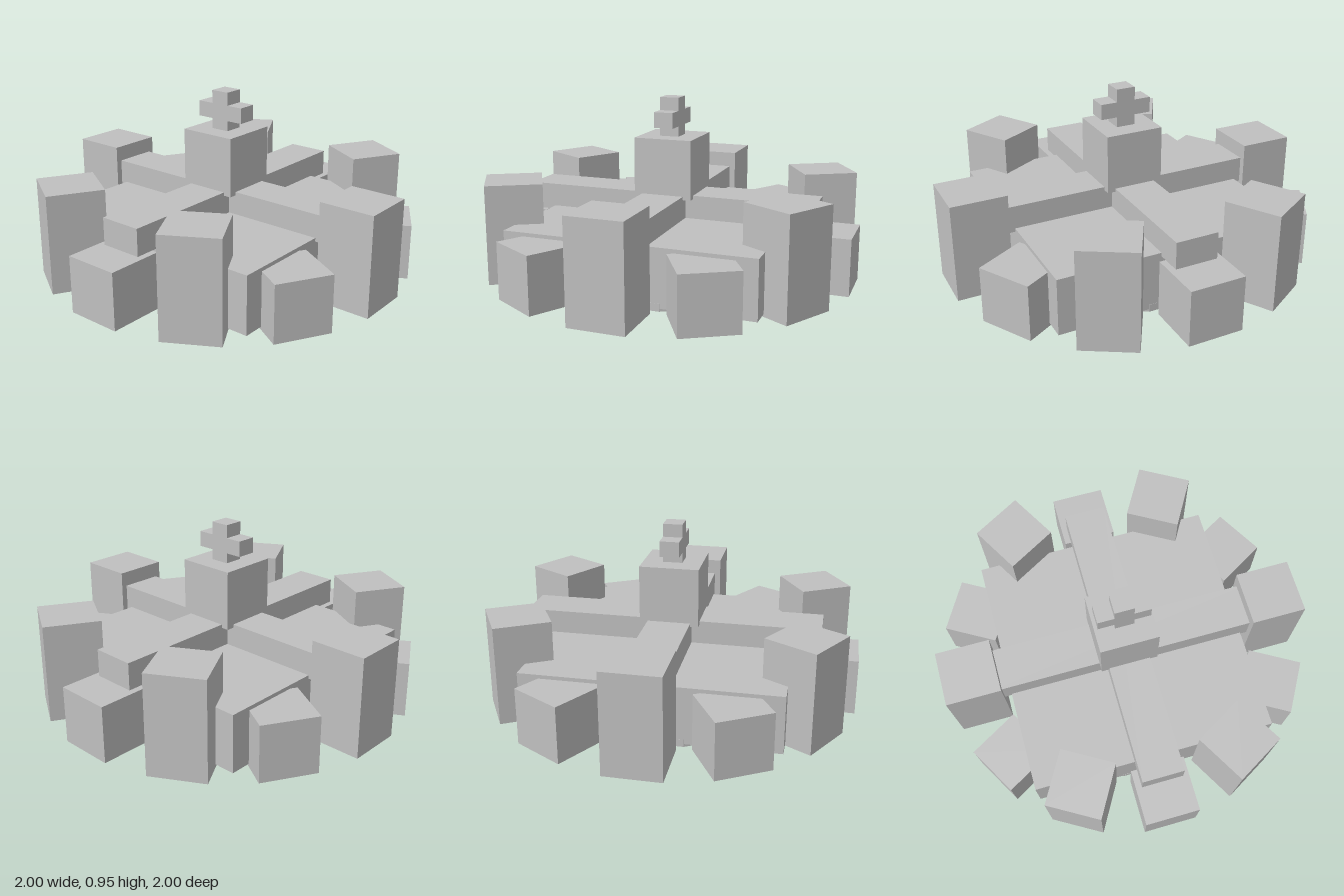
import * as THREE from 'three';

export function createModel() {
  const model = new THREE.Group();
  model.name = 'fortress';
  const stone = new THREE.MeshStandardMaterial({ color: 0xc0c0c0 });
  stone.name = 'stone grey';

  const add = (name, geometry, parent = model) => {
    const mesh = new THREE.Mesh(geometry, stone);
    mesh.name = name;
    parent.add(mesh);
    return mesh;
  };
  // Box centred on x and z, spanning y0 to y1
  const block = (name, w, d, y0, y1, parent) => {
    const geometry = new THREE.BoxGeometry(w, y1 - y0, d);
    geometry.translate(0, (y0 + y1) / 2, 0);
    return add(name, geometry, parent);
  };

  // Twelve-sided footing under the square slab
  const footing = new THREE.CylinderGeometry(0.69, 0.69, 0.04, 12);
  footing.rotateY(Math.PI / 12);
  footing.translate(0, 0.02, 0);
  add('footing', footing.toNonIndexed()).geometry.computeVertexNormals();
  block('slab', 1.33, 1.33, 0.015, 0.32);

  // Ring of alternating low and tall towers
  const ring = new THREE.Group();
  ring.name = 'towerRing';
  model.add(ring);
  for (let i = 0; i < 12; i++) {
    const tall = i % 2 === 1;
    const angle = (i * Math.PI) / 6;
    const tower = block(tall ? 'tallTower' : 'lowTower', 0.296, 0.296, 0, tall ? 0.53 : 0.3, ring);
    tower.position.set(Math.sin(angle) * 0.852, 0, Math.cos(angle) * 0.852);
    tower.rotation.y = angle;
  }

  // Crossing roof ridges
  block('ridgeFrontBack', 0.23, 1.606, 0.301, 0.445);
  block('ridgeLeftRight', 1.606, 0.23, 0.301, 0.445);

  // Central tower with a cross on its roof
  block('centralTower', 0.316, 0.316, 0.427, 0.745);
  const cross = new THREE.Shape();
  [[0.052, 0.745], [0.052, 0.8], [0.142, 0.8], [0.142, 0.883], [0.052, 0.883], [0.052, 0.953],
    [-0.052, 0.953], [-0.052, 0.883], [-0.142, 0.883], [-0.142, 0.8], [-0.052, 0.8], [-0.052, 0.745]]
    .forEach(([x, y], i) => (i ? cross.lineTo(x, y) : cross.moveTo(x, y)));
  const crossGeometry = new THREE.ExtrudeGeometry(cross, { depth: 0.104, bevelEnabled: false });
  crossGeometry.translate(0, 0, -0.052);
  add('roofCross', crossGeometry);

  return model;
}
